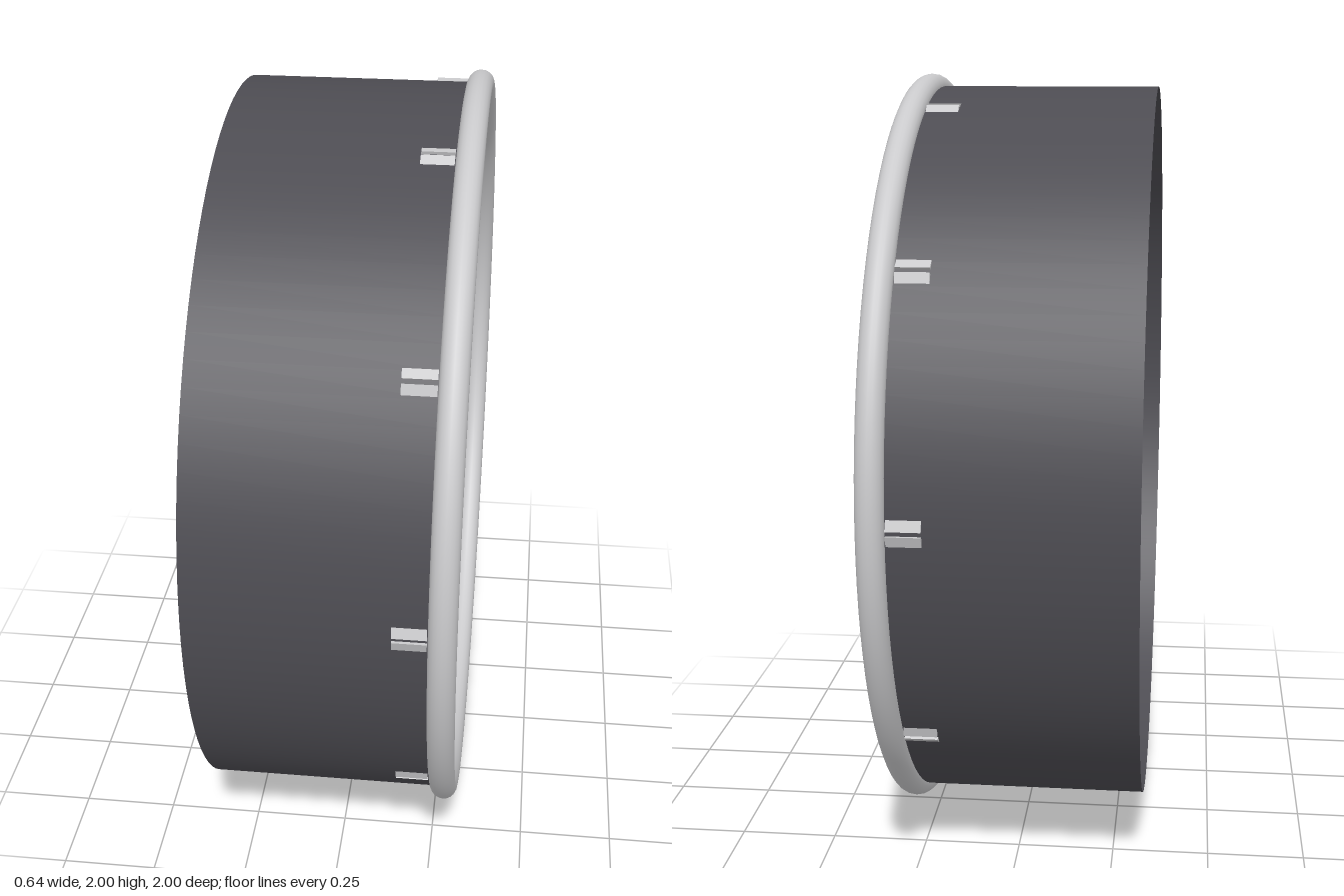
import * as THREE from 'three';
import { toCreasedNormals } from 'three/addons/utils/BufferGeometryUtils.js';

const silver = new THREE.MeshStandardMaterial({ color: 0xcacacc });
silver.name = 'silver';
const charcoal = new THREE.MeshStandardMaterial({ color: 0x4d4c52, side: THREE.DoubleSide });
charcoal.name = 'charcoal';

function add(parent, name, geometry, material = silver) {
  const mesh = new THREE.Mesh(geometry, material);
  mesh.name = name;
  parent.add(mesh);
  return mesh;
}

// Turned part about the z axis, from [radius, z] points
function turned(points, segments) {
  const lathe = new THREE.LatheGeometry(points.map(([r, z]) => new THREE.Vector2(r, z)), segments);
  return toCreasedNormals(lathe.rotateX(Math.PI / 2), 0.6);
}

// One half of a split spoke along +x, leaning forward towards the rim
function halfSpoke(side) {
  const outline = [[0.18, 0.003], [0.975, 0.006], [0.942, 0.1], [0.4, 0.13], [0.18, 0.0585]];
  const shape = new THREE.Shape(outline.map(([u, v]) => new THREE.Vector2(u, v * side)));
  const geo = new THREE.ExtrudeGeometry(shape, { depth: 0.082, bevelEnabled: false });
  const pos = geo.attributes.position;
  for (let i = 0; i < pos.count; i++) {
    pos.setZ(i, pos.getZ(i) + 0.09 + 0.08 * pos.getX(i));
  }
  geo.computeVertexNormals();
  return geo;
}

export function createModel() {
  const model = new THREE.Group();
  model.name = 'wheelRim';

  // Built around the z axis, then turned so the outer face looks along +x
  const wheel = new THREE.Group();
  wheel.name = 'wheel';
  wheel.position.y = 1;
  wheel.rotation.y = Math.PI / 2;
  model.add(wheel);

  // Open barrel
  const barrel = new THREE.CylinderGeometry(0.967, 0.967, 0.605, 96, 1, true);
  add(wheel, 'barrel', barrel.rotateX(Math.PI / 2), charcoal).position.z = -0.0225;

  // Rim lip and inner ring
  add(wheel, 'rimLip', new THREE.TorusGeometry(0.966, 0.034, 20, 96)).position.z = 0.285;
  add(wheel, 'innerRing', new THREE.TorusGeometry(0.552, 0.028, 16, 80)).position.z = 0.224;

  // Ten split spokes
  const halves = [halfSpoke(1), halfSpoke(-1)];
  for (let i = 0; i < 10; i++) {
    const spoke = new THREE.Group();
    spoke.name = 'spoke';
    spoke.rotation.z = (i * Math.PI) / 5;
    halves.forEach((geo) => add(spoke, 'spokeHalf', geo));
    wheel.add(spoke);
  }

  // Hub with its raised front plate, and the centre cap
  add(wheel, 'hub', turned([
    [0, 0.09], [0.25, 0.09], [0.25, 0.165], [0.23, 0.165],
    [0.23, 0.198], [0.215, 0.21], [0, 0.21],
  ], 64));
  add(wheel, 'centreCap', turned([
    [0.105, 0.2], [0.105, 0.25], [0.092, 0.262], [0, 0.262],
  ], 48));

  // Five wheel bolts
  const bolt = turned([[0.033, 0.2], [0.033, 0.25], [0, 0.25]], 24);
  for (let i = 0; i < 5; i++) {
    const a = Math.PI / 2 + (i * Math.PI * 2) / 5;
    add(wheel, 'bolt', bolt).position.set(0.17 * Math.cos(a), 0.17 * Math.sin(a), 0);
  }
  return model;
}
